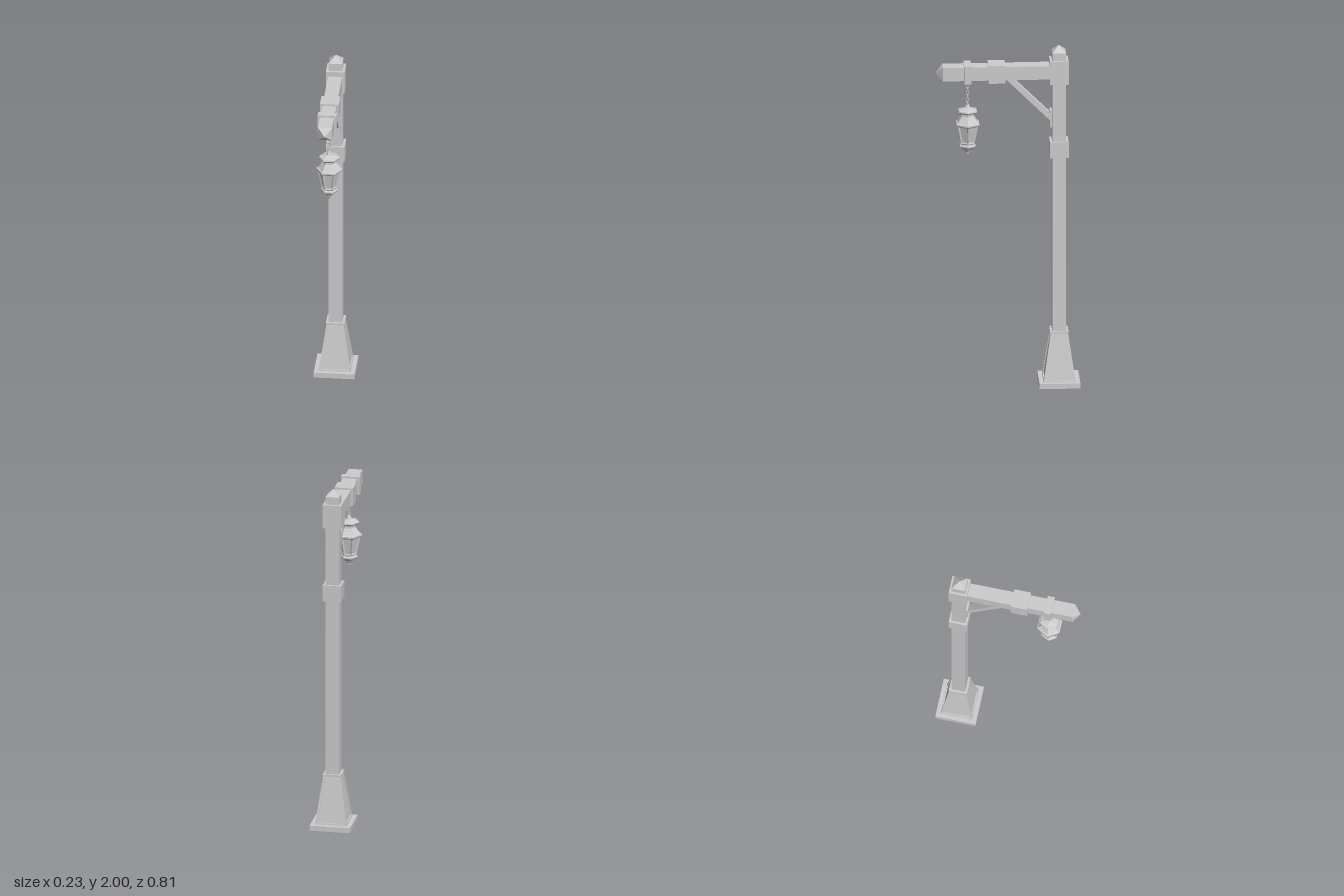
import * as THREE from 'three';
import { ConvexGeometry } from 'three/addons/geometries/ConvexGeometry.js';

const metal = new THREE.MeshStandardMaterial({ color: 0xcccccc });
const POST_Z = -0.29;
const ARM_Y = 1.848;

// Separate the faces so that every edge stays sharp
function faceted(geometry) {
  const g = geometry.index ? geometry.toNonIndexed() : geometry;
  g.computeVertexNormals();
  return g;
}

function add(parent, name, geometry, x = 0, y = 0, z = 0) {
  const mesh = new THREE.Mesh(geometry, metal);
  mesh.name = name;
  mesh.position.set(x, y, z);
  parent.add(mesh);
  return mesh;
}

// Square box given by half width and its bottom and top heights
function block(parent, name, half, y0, y1) {
  return add(parent, name, new THREE.BoxGeometry(half * 2, y1 - y0, half * 2), 0, (y0 + y1) / 2, 0);
}

// Square frustum, standing on y = 0
function frustum(half0, half1, h) {
  const g = new THREE.CylinderGeometry(half1 * Math.SQRT2, half0 * Math.SQRT2, h, 4, 1);
  g.rotateY(Math.PI / 4);
  g.translate(0, h / 2, 0);
  return faceted(g);
}

// Six-sided turned shape from [radius, y] pairs, corners on the x axis
function hexLathe(profile) {
  const points = profile.map(([r, y]) => new THREE.Vector2(r, y));
  return faceted(new THREE.LatheGeometry(points, 6, Math.PI / 2));
}

function hull(points) {
  return new ConvexGeometry(points.map((p) => new THREE.Vector3(...p)));
}

function buildPost() {
  const post = new THREE.Group();
  post.name = 'post';
  post.position.z = POST_Z;
  block(post, 'footPlate', 0.115, 0, 0.03);

  // Tapered pedestal: recessed panels inside a raised frame
  add(post, 'pedestalPanels', frustum(0.083, 0.044, 0.27), 0, 0.03, 0);
  add(post, 'pedestalLowerRail', frustum(0.09, 0.0885, 0.01), 0, 0.03, 0);
  add(post, 'pedestalUpperRail', frustum(0.0515, 0.05, 0.01), 0, 0.288, 0);
  for (const sx of [-1, 1]) {
    for (const sz of [-1, 1]) {
      const corners = [];
      for (const [outer, w, y] of [[0.09, 0.014, 0.03], [0.05, 0.011, 0.298]]) {
        for (const a of [outer, outer - w]) {
          for (const b of [outer, outer - w]) corners.push([sx * a, y, sz * b]);
        }
      }
      add(post, 'pedestalCornerRail', hull(corners));
    }
  }
  block(post, 'pedestalCollar', 0.052, 0.302, 0.317);

  // Shaft with its collar, arm block and pointed cap
  block(post, 'shaft', 0.039, 0.29, 1.962);
  block(post, 'shaftCollar', 0.0525, 1.345, 1.44);
  block(post, 'armBlock', 0.0525, 1.78, 1.917);
  add(post, 'cap', frustum(0.039, 0, 0.038), 0, 1.962, 0);
  return post;
}

function buildArm() {
  const arm = new THREE.Group();
  arm.name = 'arm';
  add(arm, 'armBeam', new THREE.BoxGeometry(0.079, 0.079, 0.622), 0, ARM_Y, 0.051);
  add(arm, 'armTip', frustum(0.0395, 0, 0.04), 0, ARM_Y, 0.362).rotation.x = Math.PI / 2;
  add(arm, 'wideBand', new THREE.BoxGeometry(0.105, 0.104, 0.096), 0, ARM_Y - 0.002, 0.06);
  add(arm, 'narrowBand', new THREE.BoxGeometry(0.105, 0.104, 0.04), 0, ARM_Y - 0.002, 0.223);

  // Diagonal brace and its wall plate
  const brace = [];
  for (const x of [-0.02, 0.02]) {
    brace.push([x, 1.815, 0.016], [x, 1.815, -0.026], [x, 1.597, -0.244], [x, 1.555, -0.244]);
  }
  add(arm, 'brace', hull(brace));
  add(arm, 'bracePlate', new THREE.BoxGeometry(0.056, 0.1, 0.014), 0, 1.57, -0.245);
  return arm;
}

function buildLantern() {
  const lantern = new THREE.Group();
  lantern.name = 'lantern';
  lantern.position.set(0.011, 0, 0.2225);

  // Chain of alternating oval links
  const link = new THREE.TorusGeometry(0.009, 0.0027, 6, 12);
  link.scale(0.85, 1.5, 1);
  for (let i = 0; i < 7; i++) {
    add(lantern, 'chainLink', link, 0, 1.79 - i * 0.021, 0).rotation.y = (i % 2) * Math.PI / 2;
  }

  // Crown, flared roof and rim
  add(lantern, 'roof', hexLathe([
    [0, 1.538], [0.068, 1.538], [0.074, 1.545], [0.074, 1.554], [0.065, 1.558],
    [0.038, 1.594], [0.036, 1.608], [0.052, 1.612], [0.06, 1.622], [0.058, 1.629],
    [0.036, 1.636], [0.018, 1.642], [0.012, 1.654], [0.006, 1.664], [0, 1.666],
  ]));

  // Tapered panes held by six corner bars
  add(lantern, 'panes', hexLathe([[0, 1.43], [0.037, 1.43], [0.06, 1.542], [0, 1.542]]));
  const bar = [];
  for (const [r, y] of [[0.043, 1.432], [0.067, 1.542]]) {
    for (const dz of [-1, 1]) bar.push([r, y, dz * 0.0025], [r - 0.009, y, dz * 0.0065]);
  }
  const barGeometry = hull(bar);
  for (let i = 0; i < 6; i++) {
    add(lantern, 'cornerBar', barGeometry).rotation.y = i * Math.PI / 3;
  }

  // Lower rim, bowl and drop finial
  add(lantern, 'lowerRimAndFinial', hexLathe([
    [0, 1.36], [0.006, 1.366], [0.009, 1.38], [0.02, 1.386], [0.025, 1.396],
    [0.044, 1.408], [0.05, 1.416], [0.05, 1.424], [0.042, 1.43], [0.046, 1.437],
    [0.043, 1.444], [0, 1.444],
  ]));
  return lantern;
}

export function createModel() {
  const model = new THREE.Group();
  model.name = 'streetLamp';
  model.add(buildPost(), buildArm(), buildLantern());
  return model;
}
